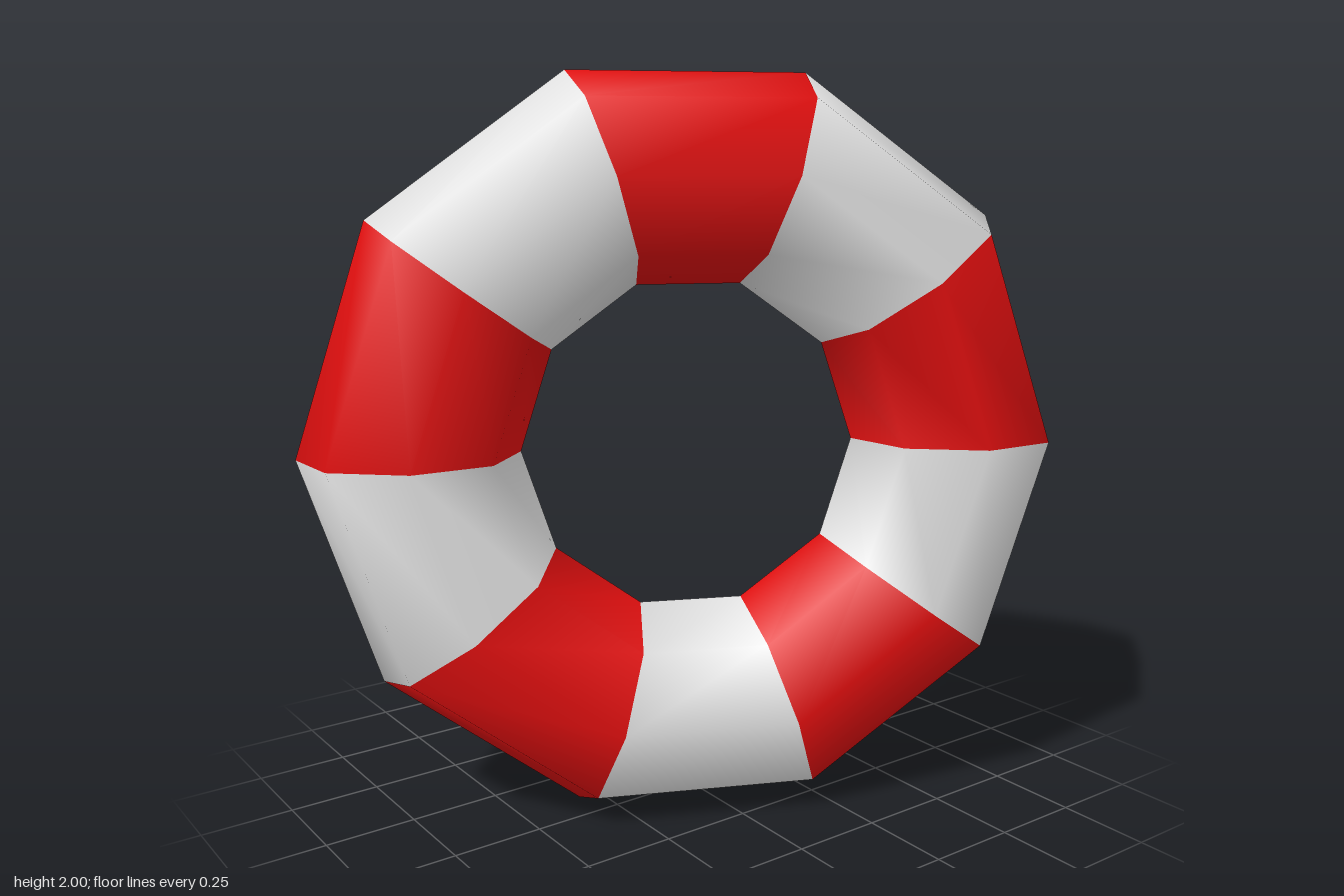
import * as THREE from 'three';

export function createModel() {
  const model = new THREE.Group();
  model.name = 'lifebuoy';

  const red = new THREE.MeshStandardMaterial({ color: 0xe00f0f });
  red.name = 'red';
  const white = new THREE.MeshStandardMaterial({ color: 0xe2e2e2 });
  white.name = 'white';

  // Ten straight sections with an eight-sided tube, alternating in colour
  const sections = 10;
  const step = (Math.PI * 2) / sections;
  const section = new THREE.TorusGeometry(0.757, 0.294, 8, 1, step);

  const ring = new THREE.Group();
  ring.name = 'ring';
  for (let i = 0; i < sections; i++) {
    const isRed = i % 2 === 0;
    const mesh = new THREE.Mesh(section, isRed ? red : white);
    mesh.name = (isRed ? 'redSection' : 'whiteSection') + (i >> 1);
    mesh.rotation.z = i * step;
    ring.add(mesh);
  }

  // Turned to one side and leaning slightly back
  ring.rotation.set(-0.037, THREE.MathUtils.degToRad(-24.6), 0, 'YXZ');
  ring.position.y = 1;
  model.add(ring);
  return model;
}
